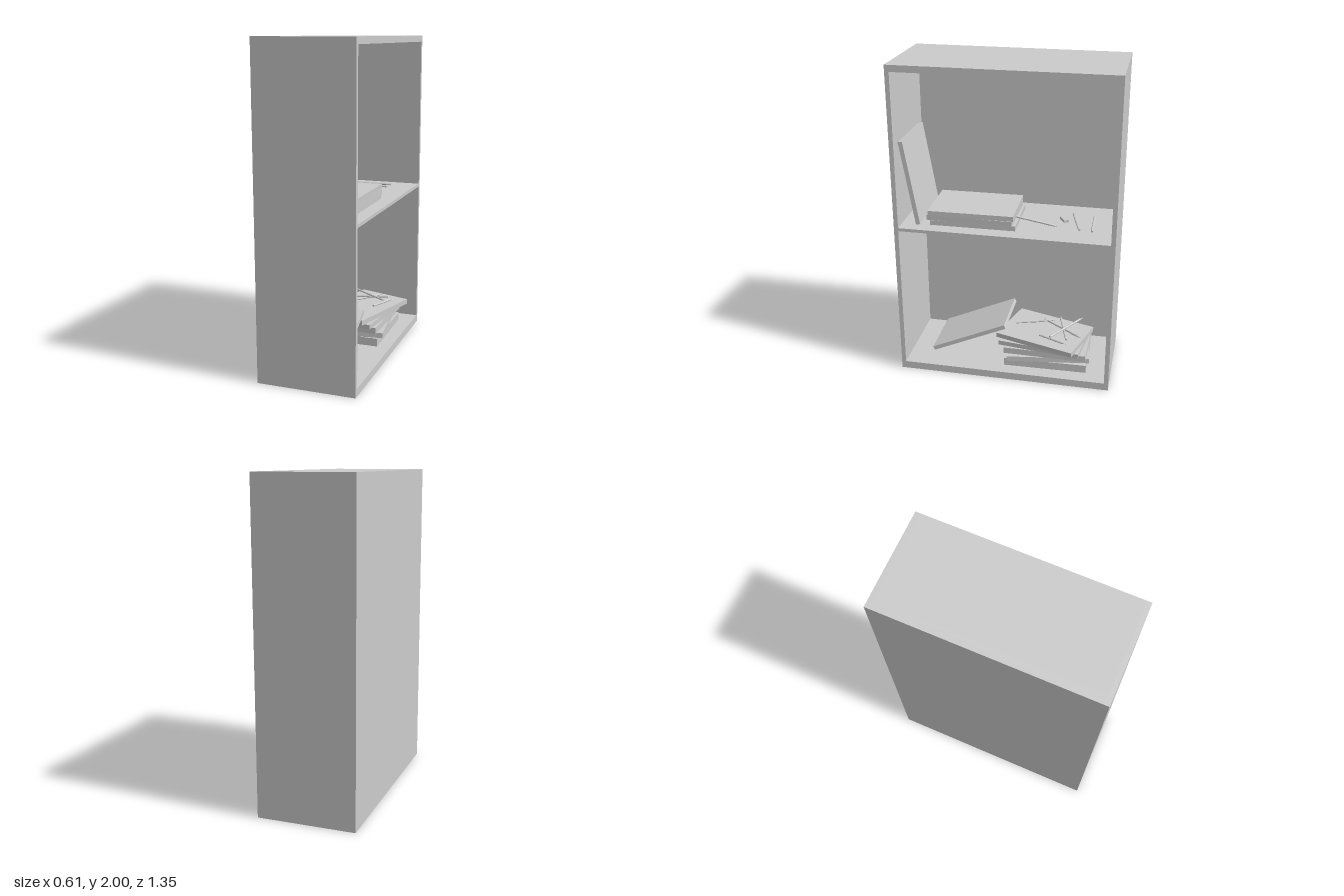
import * as THREE from 'three';

const material = new THREE.MeshStandardMaterial({ color: 0xcccccc, flatShading: true });

function box(parent, name, size, position, rotation = [0, 0, 0]) {
  const mesh = new THREE.Mesh(new THREE.BoxGeometry(...size), material);
  mesh.name = name;
  mesh.position.set(...position);
  mesh.rotation.set(...rotation);
  parent.add(mesh);
  return mesh;
}

// Hexagonal pencil with a pointed tip, lying between two points
function pencil(parent, from, to, radius = 0.007) {
  const a = new THREE.Vector3(...from);
  const b = new THREE.Vector3(...to);
  const length = a.distanceTo(b);
  const tip = 0.035;
  const group = new THREE.Group();
  group.name = 'pencil';
  const shaft = new THREE.Mesh(new THREE.CylinderGeometry(radius, radius, length - tip, 6), material);
  shaft.name = 'pencilShaft';
  shaft.position.y = -tip / 2;
  const point = new THREE.Mesh(new THREE.ConeGeometry(radius, tip, 6), material);
  point.name = 'pencilTip';
  point.position.y = (length - tip) / 2;
  group.add(shaft, point);
  group.position.copy(a).lerp(b, 0.5);
  group.quaternion.setFromUnitVectors(new THREE.Vector3(0, 1, 0), b.sub(a).normalize());
  parent.add(group);
}

// Book leaning between a lower and an upper (z, y) edge centre
function leaningBook(parent, [z0, y0], [z1, y1], xMin, xMax) {
  const length = Math.hypot(z1 - z0, y1 - y0);
  box(parent, 'leaningBook', [xMax - xMin, length, 0.027],
    [(xMin + xMax) / 2, (y0 + y1) / 2, (z0 + z1) / 2],
    [Math.atan2(z1 - z0, y1 - y0), 0, 0]);
}

export function createModel() {
  const model = new THREE.Group();
  model.name = 'bookcase';

  // Carcass, open towards +x
  const cabinet = new THREE.Group();
  cabinet.name = 'cabinet';
  box(cabinet, 'backPanel', [0.055, 2, 1.346], [-0.2775, 1, 0]);
  for (const side of [-1, 1]) box(cabinet, 'sidePanel', [0.555, 2, 0.027], [0.0275, 1, side * 0.6595]);
  box(cabinet, 'topPanel', [0.555, 0.04, 1.292], [0.0275, 1.98, 0]);
  box(cabinet, 'bottomPanel', [0.555, 0.048, 1.292], [0.0275, 0.024, 0]);
  box(cabinet, 'shelf', [0.555, 0.02, 1.292], [0.0275, 0.99, 0]);
  model.add(cabinet);

  // Upper shelf: three stacked books and one against the side
  const upper = new THREE.Group();
  upper.name = 'upperContents';
  const upperStack = [[0.04, 0.205, 0.01], [0.045, 0.222, -0.01], [0.048, 0.217, 0.015]];
  upperStack.forEach(([x, z, yaw], i) =>
    box(upper, 'book', [0.36, 0.031, 0.53], [x, 1.018 + i * 0.032, z], [0, yaw, 0]));
  leaningBook(upper, [0.541, 1.004], [0.629, 1.527], -0.18, 0.235);
  pencil(upper, [0.1, 1.05, -0.04], [0.11, 1.009, -0.306]);
  pencil(upper, [0.136, 1.008, -0.44], [-0.127, 1.008, -0.37]);
  pencil(upper, [0.143, 1.008, -0.517], [-0.127, 1.008, -0.51]);
  box(upper, 'eraser', [0.07, 0.016, 0.032], [-0.01, 1.008, -0.33], [0, 0.5, 0]);
  model.add(upper);

  // Lower shelf: five stacked books, each turned a little
  const lower = new THREE.Group();
  lower.name = 'lowerContents';
  const lowerStack = [
    [0.035, -0.252, 0.02, 0.052], [0.035, -0.25, 0.14, 0.033], [0.035, -0.252, -0.01, 0.04],
    [0.038, -0.232, -0.13, 0.03], [0.045, -0.23, -0.29, 0.031],
  ];
  let y = 0.048;
  for (const [x, z, yaw, thickness] of lowerStack) {
    box(lower, 'book', [0.36, thickness, 0.53], [x, y + thickness / 2, z], [0, yaw, 0]);
    y += thickness;
  }
  leaningBook(lower, [0.505, 0.059], [0.022, 0.278], -0.235, 0.135);

  // Pencils scattered over the stack
  const scattered = [
    [0.124, 0.241, -0.206, 0.205, 0.241, -0.39],
    [0.17, 0.262, -0.28, -0.105, 0.266, -0.46],
    [-0.08, 0.241, -0.21, 0.11, 0.241, -0.473],
    [0.17, 0.253, -0.386, -0.13, 0.251, -0.305],
    [0, 0.241, -0.03, -0.08, 0.241, -0.28],
  ];
  for (const p of scattered) pencil(lower, p.slice(0, 3), p.slice(3));
  model.add(lower);

  return model;
}
